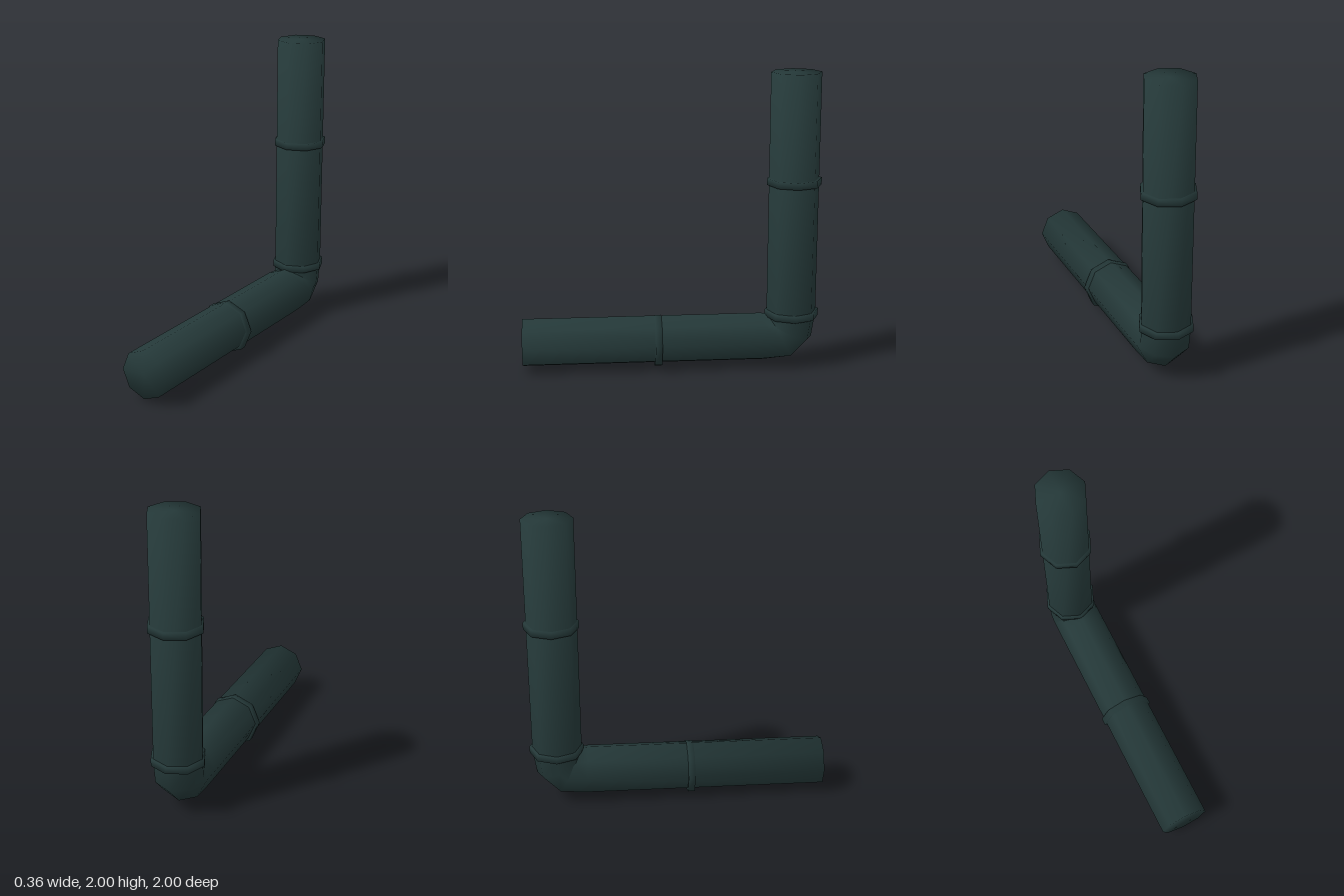
import * as THREE from 'three';

const SIDES = 8;
const R = 0.167;

// Sections of the bent pipe: centre y, centre z, pitch in degrees, end lean (softened cap rim)
const SECTIONS = [
  [0.188, 1, 0, -1],
  [0.197, -0.62, 4, 0],
  [0.2, -0.75, 25, 0],
  [0.247, -0.8, 70, 0],
  [0.36, -0.815, 90, 0],
  [2, -0.815, 90, 1],
];

function pipeGeometry() {
  const pos = [], nor = [], idx = [];
  const add = (p, n) => {
    pos.push(p.x, p.y, p.z);
    nor.push(n.x, n.y, n.z);
    return pos.length / 3 - 1;
  };
  const frames = SECTIONS.map(([y, z, deg, lean]) => {
    const a = THREE.MathUtils.degToRad(deg);
    return {
      centre: new THREE.Vector3(0, y, z),
      tangent: new THREE.Vector3(0, Math.sin(a), -Math.cos(a)),
      up: new THREE.Vector3(0, Math.cos(a), Math.sin(a)),
      lean,
    };
  });
  // Octagonal loops
  for (const f of frames) {
    for (let j = 0; j < SIDES; j++) {
      const t = (j / SIDES) * Math.PI * 2;
      const radial = new THREE.Vector3(Math.cos(t), 0, 0).addScaledVector(f.up, Math.sin(t));
      const normal = radial.clone().addScaledVector(f.tangent, f.lean * 0.8).normalize();
      add(f.centre.clone().addScaledVector(radial, R), normal);
    }
  }
  // Walls
  for (let i = 0; i < frames.length - 1; i++) {
    for (let j = 0; j < SIDES; j++) {
      const k = (j + 1) % SIDES;
      const a = i * SIDES + j, b = i * SIDES + k;
      idx.push(a, a + SIDES, b, b, a + SIDES, b + SIDES);
    }
  }
  // End caps share the rim normals, so they shade softly
  const first = frames[0], last = frames[frames.length - 1];
  const c0 = add(first.centre, first.tangent.clone().negate());
  const c1 = add(last.centre, last.tangent);
  const base = (frames.length - 1) * SIDES;
  for (let j = 0; j < SIDES; j++) {
    const k = (j + 1) % SIDES;
    idx.push(c0, j, k, c1, base + k, base + j);
  }
  const g = new THREE.BufferGeometry();
  g.setAttribute('position', new THREE.Float32BufferAttribute(pos, 3));
  g.setAttribute('normal', new THREE.Float32BufferAttribute(nor, 3));
  g.setIndex(idx);
  return g;
}

export function createModel() {
  const model = new THREE.Group();
  model.name = 'bentPipe';
  const paint = new THREE.MeshStandardMaterial({ color: 0x243838 });
  paint.name = 'darkTealMetal';

  const pipe = new THREE.Mesh(pipeGeometry(), paint);
  pipe.name = 'pipe';
  model.add(pipe);

  // Joint collars
  const profile = [[0.15, -0.023], [0.182, -0.023], [0.182, 0.023], [0.15, 0.023]]
    .map(([x, y]) => new THREE.Vector2(x, y));
  const collarGeometry = new THREE.LatheGeometry(profile, SIDES);
  const collar = (name, y, z, tilt) => {
    const m = new THREE.Mesh(collarGeometry, paint);
    m.name = name;
    m.position.set(0, y, z);
    m.rotation.x = tilt;
    model.add(m);
  };
  collar('upperCollar', 1.275, -0.818, 0);
  collar('elbowCollar', 0.365, -0.818, 0);
  collar('frontCollar', 0.182, 0.09, Math.PI / 2);

  return model;
}
